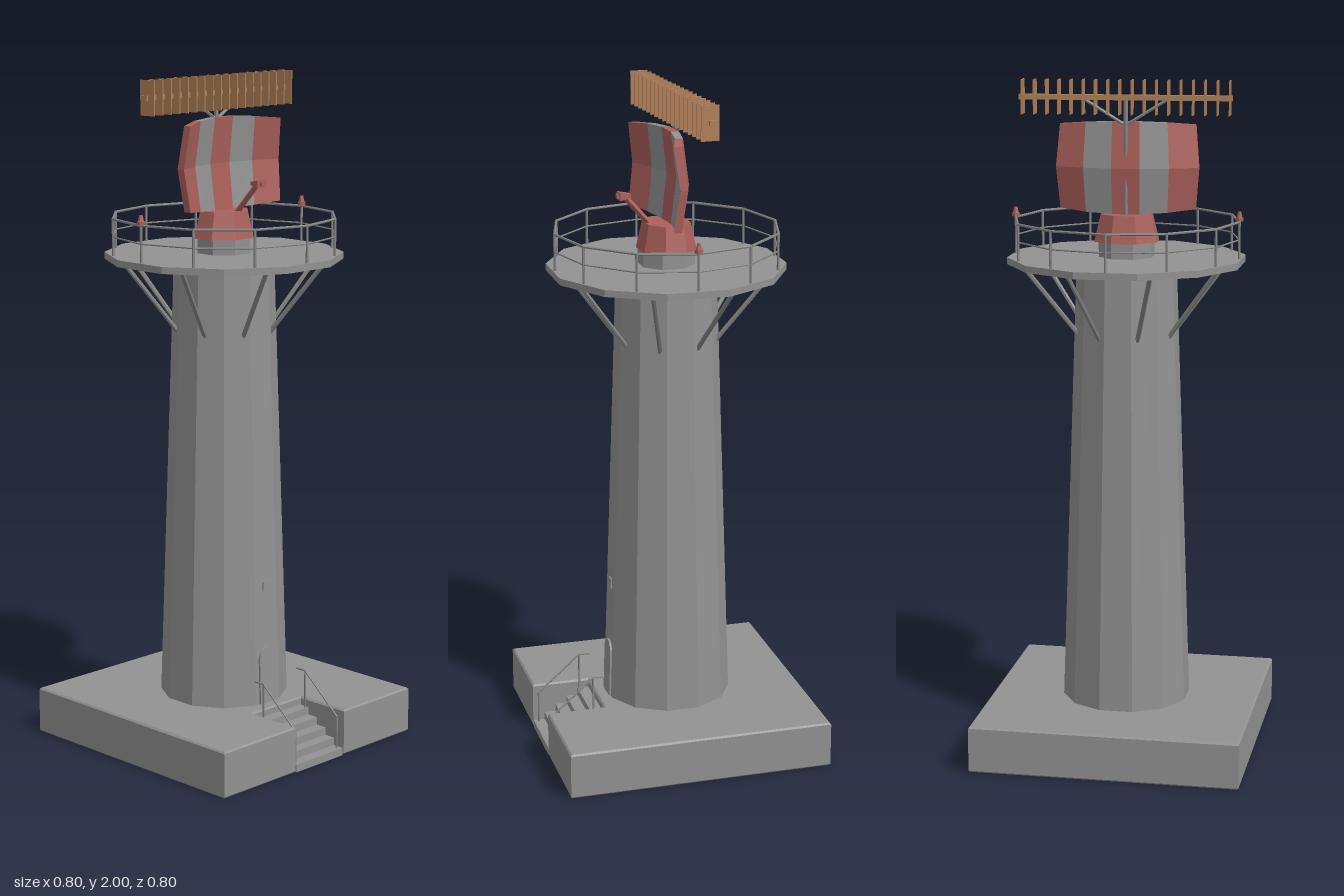
import * as THREE from 'three';

const mat = (name, color) => {
  const m = new THREE.MeshStandardMaterial({ color });
  m.name = name;
  return m;
};

export function createModel() {
  const grey = mat('concrete grey', 0x929292);
  const steel = mat('steel grey', 0x858585);
  const red = mat('signal red', 0xab605a);
  const brown = mat('antenna brown', 0xb08058);
  const model = new THREE.Group();
  model.name = 'radarTower';

  // Faceted mesh helper
  const add = (parent, name, geo, material, x = 0, y = 0, z = 0) => {
    const g = geo.index ? geo.toNonIndexed() : geo;
    g.computeVertexNormals();
    const mesh = new THREE.Mesh(g, material);
    mesh.name = name;
    mesh.position.set(x, y, z);
    parent.add(mesh);
    return mesh;
  };
  const box = (w, h, d) => new THREE.BoxGeometry(w, h, d);
  const prism = (rTop, rBottom, h, sides) =>
    new THREE.CylinderGeometry(rTop, rBottom, h, sides).rotateY(Math.PI / sides);
  // Round bar between two points
  const bar = (parent, name, a, b, r, material, sides = 6) => {
    const p = new THREE.Vector3(...a), q = new THREE.Vector3(...b);
    const mesh = add(parent, name, new THREE.CylinderGeometry(r, r, p.distanceTo(q), sides), material);
    mesh.position.copy(p).add(q).multiplyScalar(0.5);
    mesh.quaternion.setFromUnitVectors(new THREE.Vector3(0, 1, 0), q.sub(p).normalize());
    return mesh;
  };

  // Base slab with a notch for the stairs
  const outline = [[-0.4, -0.4], [-0.105, -0.4], [-0.105, -0.225], [0.105, -0.225],
    [0.105, -0.4], [0.4, -0.4], [0.4, 0.4], [-0.4, 0.4]];
  const bevel = 0.005;
  const slab = new THREE.ExtrudeGeometry(
    new THREE.Shape(outline.map(([x, y]) => new THREE.Vector2(x, y))),
    { depth: 0.14 - 2 * bevel, bevelSize: bevel, bevelThickness: bevel, bevelOffset: -bevel, bevelSegments: 1 });
  add(model, 'base', slab.rotateX(-Math.PI / 2), grey, 0, bevel, 0);

  // Stairs
  for (let i = 0; i < 5; i++) {
    const h = 0.0233 * (i + 1);
    add(model, 'step', box(0.2, h, 0.035), grey, 0, h / 2, 0.3825 - i * 0.035);
  }
  for (const s of [-1, 1]) {
    const x = 0.09 * s;
    bar(model, 'stairRail', [x, 0.12, 0.385], [x, 0.233, 0.255], 0.003, steel);
    bar(model, 'stairRail', [x, 0.233, 0.257], [x, 0.233, 0.22], 0.003, steel);
    bar(model, 'stairPost', [x, 0.02, 0.385], [x, 0.12, 0.385], 0.003, steel);
    bar(model, 'stairPost', [x, 0.115, 0.255], [x, 0.233, 0.255], 0.003, steel);
  }

  // Tapered shaft
  add(model, 'shaft', prism(0.148, 0.192, 1.33, 12), grey, 0, 0.805, 0);

  // Arched door and small window, leaning with the shaft face
  const lean = -Math.atan((0.192 - 0.148) * Math.cos(Math.PI / 12) / 1.33);
  const faceZ = (y) => Math.cos(Math.PI / 12) * (0.192 - (y - 0.14) * 0.044 / 1.33);
  const doorShape = new THREE.Shape();
  doorShape.moveTo(-0.035, 0).lineTo(0.035, 0).lineTo(0.035, 0.14);
  doorShape.absarc(0, 0.14, 0.035, 0, Math.PI, false);
  const door = add(model, 'door',
    new THREE.ExtrudeGeometry(doorShape, { depth: 0.006, bevelEnabled: false, curveSegments: 5 }),
    grey, 0, 0.14, faceZ(0.14));
  door.rotation.x = lean;
  add(model, 'window', box(0.025, 0.03, 0.008), grey, 0, 0.5, faceZ(0.5)).rotation.x = lean;

  // Platform and its struts
  add(model, 'platform', prism(0.352, 0.352, 0.02, 12), grey, 0, 1.475, 0);
  for (let i = 0; i < 8; i++) {
    const a = (i + 0.5) * Math.PI / 4, c = Math.cos(a), s = Math.sin(a);
    bar(model, 'strut', [0.312 * c, 1.467, 0.312 * s], [0.145 * c, 1.255, 0.145 * s], 0.007, steel);
  }

  // Railing
  const corner = (i, y) => {
    const a = i * Math.PI / 6;
    return [0.333 * Math.cos(a), y, 0.333 * Math.sin(a)];
  };
  for (let i = 0; i < 12; i++) {
    bar(model, 'railPost', corner(i, 1.485), corner(i, 1.595), 0.004, steel);
    bar(model, 'topRail', corner(i, 1.592), corner(i + 1, 1.592), 0.004, steel);
    bar(model, 'midRail', corner(i, 1.54), corner(i + 1, 1.54), 0.0025, steel);
  }

  // Warning lamps
  for (const s of [-1, 1]) {
    add(model, 'lampBase', new THREE.CylinderGeometry(0.012, 0.012, 0.01, 6), red, 0.333 * s, 1.6, 0);
    add(model, 'lamp', new THREE.CylinderGeometry(0.005, 0.009, 0.018, 6), red, 0.333 * s, 1.614, 0);
  }

  // Rotating head
  add(model, 'pedestal', prism(0.084, 0.084, 0.05, 8), grey, 0, 1.508, 0);
  const head = new THREE.Group();
  head.name = 'rotatingHead';
  head.rotation.y = 0.065;
  model.add(head);
  add(head, 'turret', prism(0.08, 0.1, 0.08, 8).scale(1, 1, 0.87), red, 0, 1.57, 0);

  // Curved reflector in five stripes
  const halfW = 0.21, stripeW = 2 * halfW / 5;
  for (let i = 0; i < 5; i++) {
    const g = new THREE.BoxGeometry(stripeW, 0.27, 0.024, 1, 2, 1).translate((i - 2) * stripeW, 0, 0);
    const p = g.attributes.position;
    for (let k = 0; k < p.count; k++) {
      const u = p.getX(k) / halfW, v = p.getY(k) / 0.135;
      p.setXYZ(k,
        p.getX(k) * (1 - 0.05 * v * v),
        p.getY(k) * (1 - 0.09 * u * u),
        p.getZ(k) - 0.03 + 0.05 * u * u + 0.016 * v * v);
    }
    add(head, 'reflectorStripe', g, i % 2 ? grey : red, 0, 1.745, 0);
  }

  // Feed arm and horn
  bar(head, 'feedArm', [0, 1.6, 0.045], [0, 1.69, 0.125], 0.009, red, 4);
  const horn = new THREE.CylinderGeometry(0.027, 0.013, 0.035, 4).rotateY(Math.PI / 4).scale(1, 1, 0.6);
  add(head, 'feedHorn', horn.rotateX(Math.PI / 2), red, 0, 1.695, 0.128);
  add(head, 'hornTip', box(0.016, 0.012, 0.008), red, 0, 1.695, 0.148);

  // Mast and braces for the upper antenna
  bar(head, 'mast', [0, 1.6, -0.03], [0, 1.95, -0.03], 0.007, steel);
  for (const s of [-1, 1])
    bar(head, 'brace', [0, 1.87, -0.03], [0.125 * s, 1.947, -0.03], 0.005, steel);

  // Upper antenna beam with plates
  add(head, 'antennaBeam', box(0.62, 0.015, 0.025), brown, 0, 1.95, -0.03);
  for (let i = 0; i < 18; i++)
    add(head, 'antennaPlate', box(0.004, 0.1, 0.053), brown, (i - 8.5) * 0.0355, 1.95, -0.021);

  return model;
}
